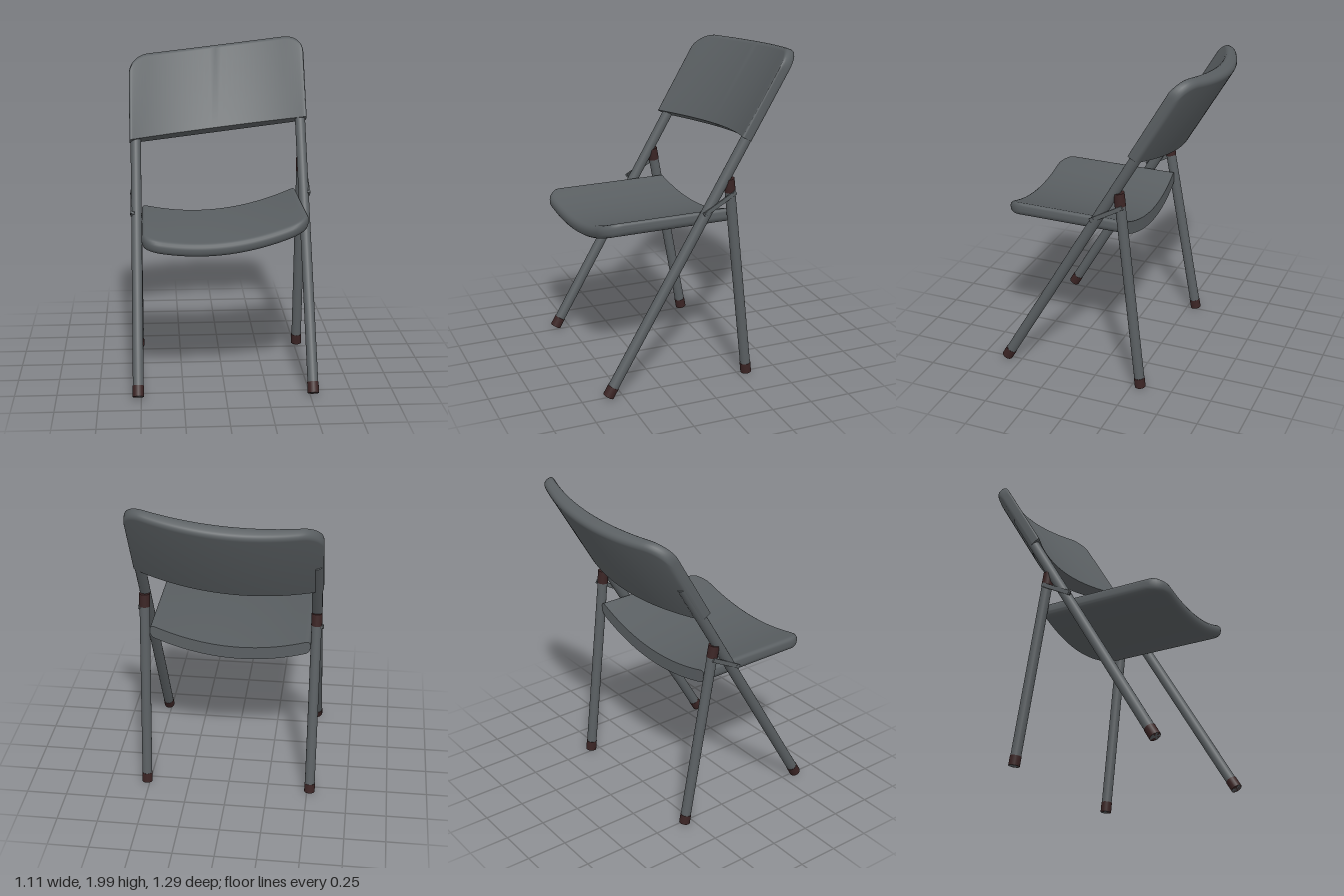
import * as THREE from 'three';
import { toCreasedNormals } from 'three/addons/utils/BufferGeometryUtils.js';

const grey = new THREE.MeshStandardMaterial({ color: 0x5a5f62 });
grey.name = 'slate grey';
const brown = new THREE.MeshStandardMaterial({ color: 0x3a2424 });
brown.name = 'dark brown';

// Curved slab swept along x: flat at v = 0, rounded edge and corners at v = length.
function slab(name, { halfWidth, corner, round, sideRound, length, thickness, place }) {
  const columns = 48, arc = 8, positions = [], index = [];
  const drop = (x, r) => {
    const d = Math.max(0, Math.abs(x) - (halfWidth - r));
    return r - Math.sqrt(Math.max(0, r * r - d * d));
  };
  let n = 0;
  for (let i = 0; i <= columns; i++) {
    const x = halfWidth * Math.sin((i / columns - 0.5) * Math.PI);
    const t = thickness(x), end = length(x) - drop(x, corner);
    const loop = [[0, 0]];
    for (let k = 0; k <= arc; k++) {
      const a = (k / arc - 0.5) * Math.PI;
      const mid = Math.sin(a) < 0 ? round : t - round;
      loop.push([end - round + round * Math.cos(a), mid + round * Math.sin(a)]);
    }
    loop.push([0, t]);
    n = loop.length;
    const squeeze = 1 - 2 * drop(x, sideRound) / t;
    for (const [v, w] of loop) positions.push(...place(x, v, t / 2 + (w - t / 2) * squeeze));
  }
  for (let i = 0; i < columns; i++) {
    for (let j = 0; j < n; j++) {
      const k = (j + 1) % n;
      const a = i * n + j, b = a + n, c = (i + 1) * n + k, d = i * n + k;
      index.push(a, b, c, a, c, d);
    }
  }
  const last = columns * n;
  for (let j = 1; j < n - 1; j++) index.push(0, j, j + 1, last, last + j + 1, last + j);
  const geometry = new THREE.BufferGeometry();
  geometry.setAttribute('position', new THREE.Float32BufferAttribute(positions, 3));
  geometry.setIndex(index);
  const mesh = new THREE.Mesh(toCreasedNormals(geometry, 0.7), grey);
  mesh.name = name;
  return mesh;
}

// Moves a mesh built along y so that it spans from a to b.
function span(mesh, a, b) {
  mesh.position.copy(a).add(b).multiplyScalar(0.5);
  mesh.quaternion.setFromUnitVectors(new THREE.Vector3(0, 1, 0), b.clone().sub(a).normalize());
  return mesh;
}

function rod(name, a, b, radius, material) {
  const mesh = new THREE.Mesh(new THREE.CylinderGeometry(radius, radius, a.distanceTo(b), 20), material);
  mesh.name = name;
  return span(mesh, a, b);
}

export function createModel() {
  const group = new THREE.Group();
  const P = (x, y, z) => new THREE.Vector3(x, y, z);

  // Seat: dished across its width, rounded at the front
  const seatBack = (x) => -0.175 - 0.0625 * x - 0.012 * (1 - (x / 0.485) ** 2);
  group.add(slab('seat', {
    halfWidth: 0.485, corner: 0.11, round: 0.035, sideRound: 0.028,
    length: (x) => 0.615 - 0.065 * x - seatBack(x),
    thickness: () => 0.08,
    place: (x, v, w) => [x, 0.875 + 0.09 * x + 0.085 * (x / 0.48) ** 2 + w, seatBack(x) + v],
  }));

  // Backrest: bowed panel leaning with the front legs
  const up = [0.864, -0.503], back = [-0.503, -0.864];
  const bow = (x) => 1 - (x / 0.555) ** 2;
  group.add(slab('backrest', {
    halfWidth: 0.555, corner: 0.12, round: 0.031, sideRound: 0.015,
    length: () => 0.57,
    thickness: (x) => 0.068 + 0.02 * bow(x),
    place: (x, v, w) => [
      x,
      1.47 + 0.109 * x - 0.015 * bow(x) + up[0] * v + back[0] * w,
      -0.19 - 0.073 * x - 0.11 * bow(x) + up[1] * v + back[1] * w,
    ],
  }));

  for (const side of [-1, 1]) {
    const label = side > 0 ? 'left' : 'right';
    const x = side * 0.517;

    // Front leg running up into the backrest, with its foot
    const foot = P(x, 0.017, 0.593), top = P(x, 1.6, -0.328);
    group.add(rod(label + 'FrontLeg', foot, top, 0.032, grey));
    group.add(rod(label + 'FrontFoot', foot, foot.clone().lerp(top, 0.036), 0.034, brown));

    // Rear leg with foot and hinge cap; the left hinge sits higher
    const rearFoot = P(x, 0.005, -0.305);
    const hinge = side > 0 ? P(x, 1.26, -0.17) : P(x, 1.15, -0.1);
    group.add(rod(label + 'RearLeg', rearFoot, hinge, 0.031, grey));
    group.add(rod(label + 'RearFoot', rearFoot, rearFoot.clone().lerp(hinge, 0.05), 0.033, brown));
    group.add(rod(label + 'HingeCap', hinge.clone().lerp(rearFoot, 0.05), hinge.clone().lerp(rearFoot, -0.015), 0.033, brown));

    // Folding link on the outside of the legs
    const a = side > 0 ? P(0.549, 1.085, 0) : P(-0.549, 0.985, 0.07);
    const b = side > 0 ? P(0.549, 1.2, -0.2) : P(-0.549, 1.09, -0.125);
    const link = new THREE.Mesh(new THREE.BoxGeometry(0.01, a.distanceTo(b), 0.026), grey);
    link.name = label + 'Link';
    group.add(span(link, a, b));
    for (const t of [0.08, 0.92]) {
      const p = a.clone().lerp(b, t);
      group.add(rod(label + 'Rivet', P(side * 0.53, p.y, p.z), P(side * 0.556, p.y, p.z), 0.01, grey));
    }
  }
  return group;
}
